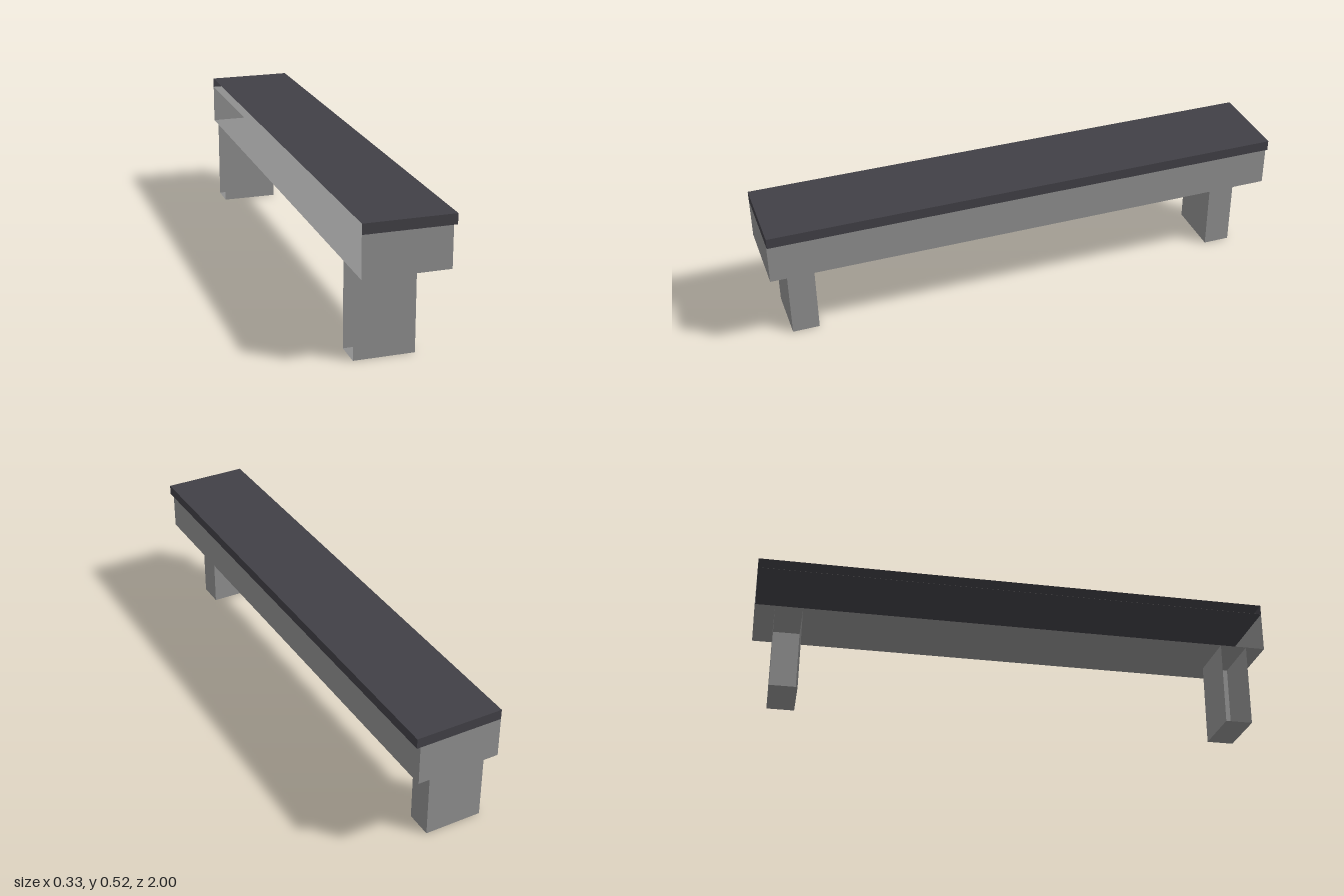
import * as THREE from 'three';

// Box between two corners, left open on its -x (wall) side
function openBox(name, material, [x0, y0, z0], [x1, y1, z1]) {
  const geometry = new THREE.BoxGeometry(x1 - x0, y1 - y0, z1 - z0);
  const index = Array.from(geometry.index.array);
  index.splice(6, 6); // the -x face is the second of the six
  geometry.setIndex(index);
  geometry.clearGroups();
  geometry.translate((x0 + x1) / 2, (y0 + y1) / 2, (z0 + z1) / 2);
  const mesh = new THREE.Mesh(geometry, material);
  mesh.name = name;
  return mesh;
}

export function createModel() {
  const concrete = new THREE.MeshStandardMaterial({ name: 'concreteGrey', color: 0x8f8f8f, side: THREE.DoubleSide });
  const slate = new THREE.MeshStandardMaterial({ name: 'darkSlate', color: 0x414046, side: THREE.DoubleSide });

  const bench = new THREE.Group();
  bench.name = 'bench';
  const back = -0.167;

  // Dark top slab, overhanging the beam at the +x side
  bench.add(openBox('topSlab', slate, [back, 0.478, -1], [0.167, 0.517, 1]));

  // Long beam; its top sits a hair inside the slab
  bench.add(openBox('beam', concrete, [back, 0.323, -1], [0.153, 0.4785, 1]));

  // One leg near each end, set back from the +x side
  for (const [name, z] of [['frontLeg', 0.8725], ['backLeg', -0.8725]]) {
    bench.add(openBox(name, concrete, [back, 0, z - 0.052], [0.057, 0.323, z + 0.052]));
  }
  return bench;
}
